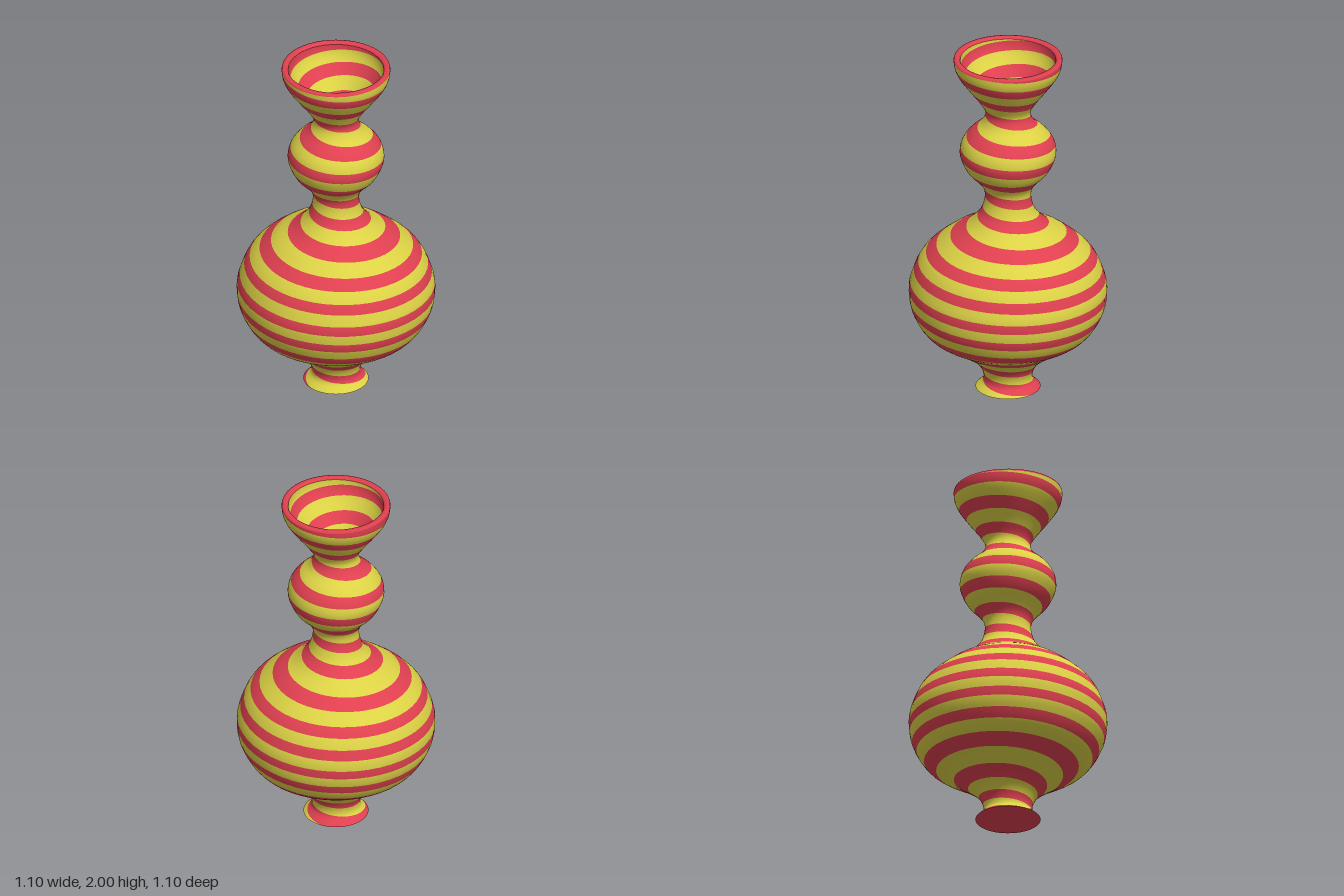
import * as THREE from 'three';

const red = new THREE.MeshStandardMaterial({ color: 0xe04050 });
red.name = 'red';
const yellow = new THREE.MeshStandardMaterial({ color: 0xdcd245 });
yellow.name = 'yellow';

// outer profile as [height, radius]
const PROFILE = [
  [0, 0.18], [0.045, 0.136], [0.12, 0.15], [0.185, 0.205], [0.27, 0.325], [0.35, 0.452],
  [0.467, 0.527], [0.573, 0.548], [0.66, 0.538], [0.8, 0.472], [0.92, 0.335], [0.98, 0.235],
  [1.05, 0.165], [1.1, 0.14], [1.157, 0.128], [1.21, 0.135], [1.263, 0.172], [1.315, 0.222],
  [1.385, 0.258], [1.437, 0.267], [1.5, 0.25], [1.555, 0.207], [1.607, 0.148], [1.67, 0.124],
  [1.74, 0.16], [1.82, 0.22], [1.9, 0.276], [1.947, 0.296], [2, 0.302],
];

// height of the centre of each red turn, measured at the front
const TURNS = [
  -0.16, -0.05, 0.06, 0.16, 0.275, 0.385, 0.5, 0.61, 0.73, 0.84, 0.95, 1.065,
  1.185, 1.3, 1.425, 1.55, 1.675, 1.79, 1.915, 2.03, 2.15, 2.27,
].map((y, i) => [i - 2, y]);

// smooth interpolation through a list of [x, y] pairs
function sample(table, x) {
  const last = table.length - 1;
  let i = 0;
  while (i < last - 1 && x > table[i + 1][0]) i++;
  const slope = (j) => {
    const a = table[Math.max(j - 1, 0)], b = table[Math.min(j + 1, last)];
    return (b[1] - a[1]) / (b[0] - a[0]);
  };
  const [x0, y0] = table[i], [x1, y1] = table[i + 1];
  const h = x1 - x0, t = (x - x0) / h, t2 = t * t, t3 = t2 * t;
  return (2 * t3 - 3 * t2 + 1) * y0 + (t3 - 2 * t2 + t) * h * slope(i)
    + (3 * t2 - 2 * t3) * y1 + (t3 - t2) * h * slope(i + 1);
}

const outerRadius = (y) => sample(PROFILE, y);
const innerRadius = (y) => outerRadius(y)
  - THREE.MathUtils.lerp(0.055, 0.037, THREE.MathUtils.smoothstep(y, 1.65, 1.95));

// helical bands on a surface of revolution; from/to are fractions of a turn
function spiralGeometry(radius, yMin, yMax, from, to, inward) {
  const AROUND = 48, STEPS = 4, positions = [], normals = [], indices = [];
  const sign = inward ? -1 : 1;
  for (let turn = -1; turn <= 18; turn++) {
    const base = positions.length / 3;
    for (let j = 0; j <= STEPS; j++) {
      for (let i = 0; i <= AROUND; i++) {
        const a = (i / AROUND - 0.5) * Math.PI * 2;
        const phase = THREE.MathUtils.clamp(turn + from + (to - from) * j / STEPS - a / (2 * Math.PI), -2, 19);
        const y = THREE.MathUtils.clamp(sample(TURNS, phase), yMin, yMax);
        const r = radius(y), e = 0.004;
        const y0 = Math.max(y - e, 0), y1 = Math.min(y + e, 2);
        const slope = (radius(y1) - radius(y0)) / (y1 - y0);
        const n = new THREE.Vector3(Math.sin(a), -slope, Math.cos(a)).normalize().multiplyScalar(sign);
        positions.push(r * Math.sin(a), y, r * Math.cos(a));
        normals.push(n.x, n.y, n.z);
      }
    }
    const tri = (p, q, s) => {
      // drop slivers that lie wholly on a trimmed edge
      const ys = [p, q, s].map((v) => positions[v * 3 + 1]);
      if (ys.every((v) => v <= yMin) || ys.every((v) => v >= yMax)) return;
      if (inward) indices.push(p, s, q); else indices.push(p, q, s);
    };
    for (let j = 0; j < STEPS; j++) {
      for (let i = 0; i < AROUND; i++) {
        const p = base + j * (AROUND + 1) + i, u = p + AROUND + 1;
        tri(p, p + 1, u + 1);
        tri(p, u + 1, u);
      }
    }
  }
  const g = new THREE.BufferGeometry();
  g.setAttribute('position', new THREE.Float32BufferAttribute(positions, 3));
  g.setAttribute('normal', new THREE.Float32BufferAttribute(normals, 3));
  g.setIndex(indices);
  return g;
}

export function createModel() {
  const vase = new THREE.Group();
  vase.name = 'vase';
  const add = (name, geometry, material) => {
    const mesh = new THREE.Mesh(geometry, material);
    mesh.name = name;
    vase.add(mesh);
    return mesh;
  };

  // striped walls, outside and inside
  const H = 0.235, RIM = 1.988, FLOOR = 0.05;
  add('outerRedStripe', spiralGeometry(outerRadius, 0, RIM, -H, H, false), red);
  add('outerYellowStripe', spiralGeometry(outerRadius, 0, RIM, H, 1 - H, false), yellow);
  add('innerRedStripe', spiralGeometry(innerRadius, FLOOR, RIM, -H, H, true), red);
  add('innerYellowStripe', spiralGeometry(innerRadius, FLOOR, RIM, H, 1 - H, true), yellow);

  // rim closing the two walls
  const rim = [
    [outerRadius(RIM), RIM], [0.298, 1.998], [0.285, 2], [0.27, 1.998], [innerRadius(RIM), RIM],
  ].map(([r, y]) => new THREE.Vector2(r, y));
  add('rim', new THREE.LatheGeometry(rim, 48), red);

  // inside floor and underside
  const floor = add('innerFloor', new THREE.CircleGeometry(innerRadius(FLOOR), 48), yellow);
  floor.rotation.x = -Math.PI / 2;
  floor.position.y = FLOOR;
  const base = add('base', new THREE.CircleGeometry(outerRadius(0), 48), red);
  base.rotation.x = Math.PI / 2;

  return vase;
}
